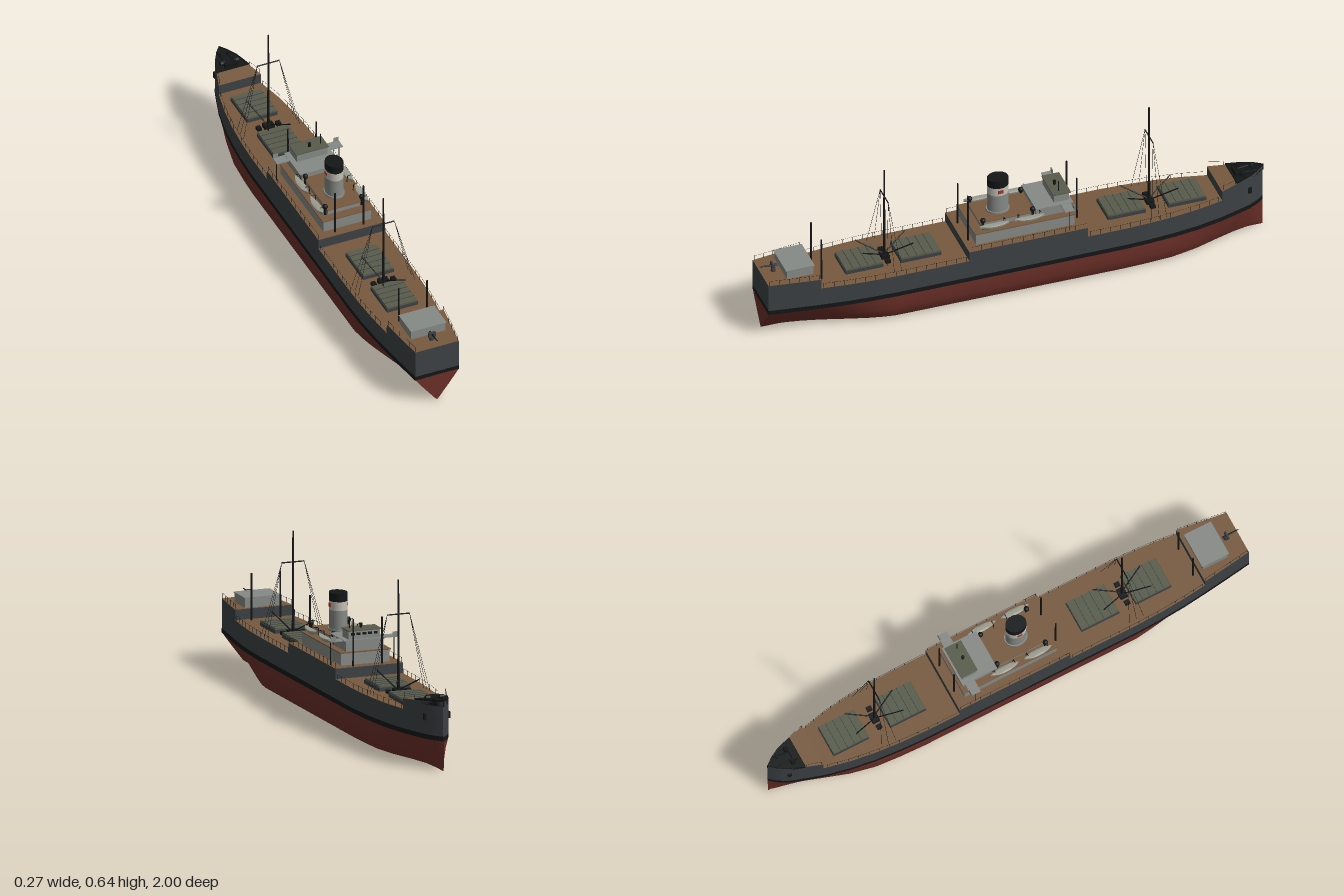
import * as THREE from 'three';
import { toCreasedNormals } from 'three/addons/utils/BufferGeometryUtils.js';

const mat = (color, side = THREE.FrontSide) => new THREE.MeshStandardMaterial({ color, side, roughness: 0.8 });
const D = THREE.DoubleSide;
const M = {
  grey: mat(0x3c4144, D), black: mat(0x141617, D), red: mat(0x6b2f28, D), deck: mat(0x775a3f, D),
  house: mat(0x868a86), olive: mat(0x585c4b), pale: mat(0xc4c0b6), boat: mat(0x9a9c90, D), mark: mat(0xa03428),
};

// Half-breadth of the hull in plan: bow at -z, stern at +z
const PLAN = [[-0.995, 0.002], [-0.97, 0.023], [-0.93, 0.046], [-0.87, 0.066], [-0.8, 0.088], [-0.7, 0.11], [-0.6, 0.124],
  [-0.5, 0.132], [-0.4, 0.136], [0.5, 0.136], [0.6, 0.133], [0.7, 0.126], [0.8, 0.115], [0.9, 0.102], [0.995, 0.089]];
function beam(z) {
  let i = 1;
  while (i < PLAN.length - 1 && PLAN[i][0] < z) i++;
  const [a, b] = [PLAN[i - 1], PLAN[i]];
  return THREE.MathUtils.lerp(a[1], b[1], THREE.MathUtils.clamp((z - a[0]) / (b[0] - a[0]), 0, 1));
}
const stations = (a, b) => [a, ...PLAN.map(p => p[0]).filter(z => z > a + 0.001 && z < b - 0.001), b];

// Grid surface from rows of points
function surface(rows) {
  const n = rows[0].length, idx = [];
  for (let i = 0; i < rows.length - 1; i++) for (let j = 0; j < n - 1; j++) {
    const a = i * n + j, b = a + n;
    idx.push(a, a + 1, b, b, a + 1, b + 1);
  }
  const g = new THREE.BufferGeometry();
  g.setAttribute('position', new THREE.Float32BufferAttribute(rows.flat(2), 3));
  g.setIndex(idx);
  return toCreasedNormals(g, 0.5);
}

export function createModel() {
  const ship = new THREE.Group();
  ship.name = 'cargoShip';
  const add = (name, geo, m, x = 0, y = 0, z = 0, parent = ship) => {
    const mesh = new THREE.Mesh(geo, m);
    mesh.name = name;
    mesh.position.set(x, y, z);
    parent.add(mesh);
    return mesh;
  };
  const box = (name, m, w, y0, y1, z0, z1, x = 0) =>
    add(name, new THREE.BoxGeometry(w, y1 - y0, z1 - z0), m, x, (y0 + y1) / 2, (z0 + z1) / 2);
  const rod = (name, a, b, r, m = M.black, r2 = r, sides = 6) => {
    const A = new THREE.Vector3(...a), d = new THREE.Vector3(...b).sub(A), len = d.length();
    const mesh = add(name, new THREE.CylinderGeometry(r2, r, len, sides), m);
    mesh.position.copy(A).addScaledVector(d, 0.5);
    mesh.quaternion.setFromUnitVectors(new THREE.Vector3(0, 1, 0), d.normalize());
    return mesh;
  };
  const both = f => [-1, 1].forEach(f);

  // Underwater hull: full sections amidships, V sections toward the ends
  const Y = [0.12, 0.09, 0.06, 0.035, 0.015, 0.003];
  const FULL = [1, 1, 0.985, 0.94, 0.86, 0], VEE = [1, 0.76, 0.51, 0.29, 0.12, 0];
  const fine = z => z > 0 ? THREE.MathUtils.smoothstep(z, 0.45, 1) : 0.75 * THREE.MathUtils.smoothstep(-z, 0.6, 1);
  const section = z => {
    const half = Y.map((y, i) => [beam(z) * THREE.MathUtils.lerp(FULL[i], VEE[i], fine(z)), y, z]);
    return [...half, ...half.slice(0, -1).reverse().map(([x, y]) => [-x, y, z])];
  };
  add('lowerHull', surface([...stations(-0.995, 0.5), 0.55, 0.6, 0.65, 0.7, 0.75, 0.8, 0.85, 0.9, 0.95, 0.995].map(section)), M.red);
  add('lowerTransom', surface([section(0.995), section(0.995).map(([, y, z]) => [0, y, z])]), M.red);

  // Side plating, bulkheads and decks
  const sides = (name, z0, z1, y0, top, m, grow = 0) => {
    const zs = stations(z0, z1), h = z => typeof top === 'number' ? top : top(z);
    both(s => add(name, surface(zs.map(z => [y0, h(z)].map(y => [s * (beam(z) + grow), y, z]))), m));
    [z0, z1].forEach(z => add(name + 'End', surface([-1, 1].map(s => [y0, h(z)].map(y => [s * (beam(z) + grow), y, z]))), m));
  };
  const deck = (name, z0, z1, top, m = M.deck) =>
    add(name, surface(stations(z0, z1).map(z => [-1, 1].map(s => [s * beam(z), typeof top === 'number' ? top : top(z), z]))), m);
  const sheer = z => 0.25 + 0.02 * THREE.MathUtils.clamp((-z - 0.8) / 0.2, 0, 1);
  sides('waterlineBand', -0.995, 0.995, 0.118, 0.136, M.black, 0.001);
  sides('topsides', -0.995, 0.995, 0.134, 0.21, M.grey);
  deck('wellDeck', -0.82, 0.82, 0.21);
  sides('forecastle', -0.995, -0.805, 0.21, sheer, M.grey);
  sides('bowBulwark', -0.998, -0.87, 0.25, z => sheer(z) + 0.006, M.black);
  deck('forecastleDeck', -0.87, -0.805, sheer);
  deck('anchorDeck', -0.995, -0.87, sheer, M.black);
  sides('midCastle', -0.255, 0.215, 0.21, 0.25, M.grey);
  deck('midCastleDeck', -0.255, 0.215, 0.25);
  sides('poop', 0.795, 0.995, 0.21, 0.25, M.grey);
  deck('poopDeck', 0.795, 0.995, 0.25);

  // Anchor gear on the bow
  box('windlass', M.black, 0.05, 0.255, 0.275, -0.9, -0.88);
  both(s => {
    const drum = add('windlassDrum', new THREE.CylinderGeometry(0.01, 0.01, 0.018, 10), M.black, s * 0.028, 0.268, -0.905);
    drum.rotation.z = Math.PI / 2;
    rod('bollard', [s * 0.015, 0.262, -0.95], [s * 0.015, 0.278, -0.95], 0.005);
    rod('anchorChain', [s * 0.015, 0.266, -0.9], [s * 0.02, 0.27, -0.965], 0.003);
    box('anchor', M.black, 0.008, 0.19, 0.215, -0.935, -0.92, s * 0.048);
  });

  // Cargo hatches with covers
  [[-0.75, -0.6], [-0.51, -0.36], [0.3, 0.46], [0.53, 0.68]].forEach(([a, b]) => {
    box('hatchCoaming', M.grey, 0.126, 0.209, 0.224, a, b);
    box('hatchCover', M.olive, 0.122, 0.224, 0.231, a + 0.002, b - 0.002);
    for (let i = 1; i < 5; i++) {
      const z = a + (b - a) * i / 5;
      box('hatchBatten', M.grey, 0.122, 0.231, 0.2325, z - 0.001, z + 0.001);
    }
  });

  // Masts with crosstrees, shrouds and cargo booms
  [[-0.545, 0.642, 0.51], [0.505, 0.605, 0.486]].forEach(([z, top, yard]) => {
    rod('mast', [0, 0.21, z], [0, top, z], 0.0055, M.black, 0.003, 8);
    rod('crosstree', [-0.045, yard, z], [0.045, yard, z], 0.0025);
    box('mastTable', M.black, 0.04, 0.21, 0.225, z - 0.015, z + 0.015);
    both(s => {
      [-0.03, 0, 0.03].forEach(d => rod('shroud', [s * 0.045, yard, z], [s * 0.115, 0.21, z + d], 0.0007, M.black, 0.0007, 4));
      both(t => rod('cargoBoom', [s * 0.006, 0.224, z + t * 0.006], [s * 0.045, 0.278, z + t * 0.1], 0.0025));
      rod('topLift', [0, yard, z], [s * 0.045, yard, z], 0.001);
      box('winch', M.black, 0.018, 0.21, 0.222, z - 0.01, z + 0.01, s * 0.04);
    });
  });
  // Paired king posts
  [[-0.238, 0.25, 0.43], [0.193, 0.25, 0.43], [0.775, 0.21, 0.39]].forEach(([z, y0, y1]) =>
    both(s => rod('kingPost', [s * 0.058, y0, z], [s * 0.058, y1, z], 0.004, M.black, 0.0035, 8)));

  // Midship superstructure
  box('lowerHouse', M.house, 0.196, 0.25, 0.296, -0.215, 0.175);
  box('boatDeck', M.deck, 0.204, 0.296, 0.3, -0.22, 0.18);
  box('engineCasing', M.house, 0.13, 0.3, 0.32, -0.07, 0.145);
  box('casingDeck', M.deck, 0.136, 0.32, 0.323, -0.07, 0.15);
  box('bridgeHouse', M.house, 0.15, 0.3, 0.34, -0.21, -0.07);
  box('bridgeDeck', M.house, 0.168, 0.34, 0.344, -0.215, -0.068);
  box('bridgeWings', M.house, 0.27, 0.339, 0.343, -0.205, -0.165);
  both(s => {
    box('wingCab', M.house, 0.02, 0.343, 0.36, -0.205, -0.202, s * 0.124);
    rod('wingPost', [s * 0.128, 0.25, -0.185], [s * 0.128, 0.34, -0.185], 0.0015);
  });
  box('wheelhouse', M.house, 0.126, 0.344, 0.376, -0.205, -0.145);
  box('wheelhouseRoof', M.olive, 0.134, 0.376, 0.38, -0.212, -0.142);
  for (let i = -2; i <= 2; i++) box('bridgeWindow', M.black, 0.015, 0.359, 0.369, -0.2062, -0.2045, i * 0.023);
  rod('signalPole', [0.045, 0.38, -0.17], [0.045, 0.425, -0.17], 0.0015);
  rod('searchlight', [0, 0.38, -0.17], [0, 0.396, -0.17], 0.005, M.black, 0.007, 8);

  // Oval funnel in painted bands
  const funnel = new THREE.Group();
  funnel.name = 'funnel';
  funnel.position.z = 0.055;
  funnel.scale.z = 1.2;
  ship.add(funnel);
  [[0.32, 0.402, M.house], [0.402, 0.436, M.pale], [0.436, 0.468, M.black]].forEach(([a, b, m]) =>
    add('funnelBand', new THREE.CylinderGeometry(0.034, 0.034, b - a, 28), m, 0, (a + b) / 2, 0, funnel));
  add('funnelBase', new THREE.CylinderGeometry(0.038, 0.038, 0.008, 28), M.house, 0, 0.326, 0, funnel);
  both(s => box('funnelPanel', M.mark, 0.003, 0.413, 0.427, 0.045, 0.065, s * 0.0335));

  // Lifeboats on davits: tapered open hulls with covers
  const boatRows = [];
  for (let i = 0; i <= 10; i++) {
    const t = i / 5 - 1, w = 0.013 * (1 - Math.abs(t) ** 2.5) + 0.0005, row = [];
    for (let k = 0; k <= 10; k++) {
      const a = Math.PI * 2 * k / 10;
      row.push([w * Math.cos(a), Math.sin(a) * (Math.sin(a) > 0 ? 0.003 : 0.015 * (1 - 0.4 * t * t)) + 0.004 * t * t, t * 0.058]);
    }
    boatRows.push(row);
  }
  const boatGeo = surface(boatRows);
  both(s => [-0.04, 0.1].forEach(z => {
    add('lifeboat', boatGeo, M.boat, s * 0.092, 0.32, z);
    both(t => {
      rod('davit', [s * 0.075, 0.3, z + t * 0.042], [s * 0.079, 0.336, z + t * 0.042], 0.0015);
      rod('davitArm', [s * 0.079, 0.336, z + t * 0.042], [s * 0.094, 0.338, z + t * 0.042], 0.0015);
    });
  }));

  // Cowl ventilators
  both(s => [[0.075, 0.14, 0.3], [0.066, -0.06, 0.3]].forEach(([x, z, y]) => {
    rod('ventPipe', [s * x, y, z], [s * x, 0.336, z], 0.005, M.black, 0.005, 10);
    add('ventCowl', new THREE.SphereGeometry(0.0105, 12, 8), M.black, s * x, 0.337, z);
  }));

  // Poop deckhouse and stern gun
  box('poopHouse', M.house, 0.14, 0.25, 0.287, 0.81, 0.915);
  box('poopHouseRoof', M.house, 0.146, 0.287, 0.29, 0.806, 0.92);
  rod('gunPedestal', [0, 0.25, 0.945], [0, 0.27, 0.945], 0.01, M.grey, 0.007, 10);
  box('gunShield', M.grey, 0.028, 0.264, 0.286, 0.945, 0.952);
  rod('gunBarrel', [0, 0.275, 0.93], [0, 0.279, 0.998], 0.004, M.black, 0.002, 8);

  // Railings along every open deck edge
  const railing = (z0, z1, y) => both(s => {
    const n = Math.round((z1 - z0) / 0.04), at = i => {
      const z = z0 + (z1 - z0) * i / n;
      return [s * (beam(z) - 0.003), y, z];
    };
    for (let i = 0; i <= n; i++) {
      const [x, , z] = at(i);
      rod('railPost', [x, y, z], [x, y + 0.02, z], 0.0009, M.black, 0.0009, 4);
      if (i < n) {
        const b = at(i + 1);
        rod('rail', [x, y + 0.019, z], [b[0], y + 0.019, b[2]], 0.0005, M.black, 0.0005, 4);
      }
    }
  });
  railing(-0.79, -0.265, 0.21);
  railing(-0.25, 0.21, 0.25);
  railing(0.225, 0.785, 0.21);
  railing(0.8, 0.99, 0.25);
  railing(-0.865, -0.81, 0.254);
  return ship;
}
